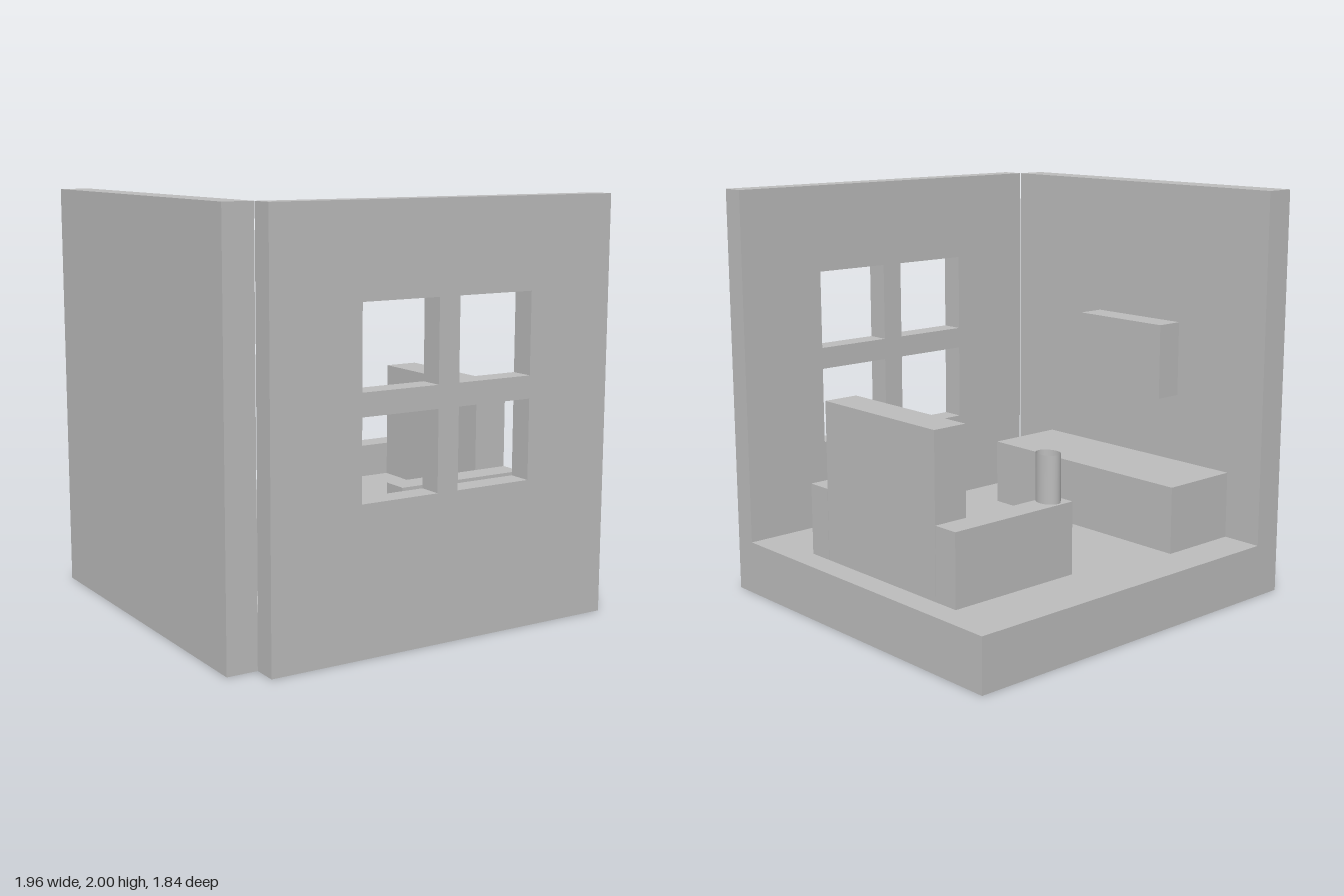
import * as THREE from 'three';

export function createModel() {
  const model = new THREE.Group();
  model.name = 'room';
  const grey = new THREE.MeshStandardMaterial({ color: 0xbcbcbc, side: THREE.DoubleSide });
  grey.name = 'plain grey';

  const add = (name, geometry, parent = model) => {
    const mesh = new THREE.Mesh(geometry, grey);
    mesh.name = name;
    parent.add(mesh);
    return mesh;
  };

  // Box given by its lower and upper limits on each axis
  const block = (name, [x0, x1], [y0, y1], [z0, z1], parent) => {
    const mesh = add(name, new THREE.BoxGeometry(x1 - x0, y1 - y0, z1 - z0), parent);
    mesh.position.set((x0 + x1) / 2, (y0 + y1) / 2, (z0 + z1) / 2);
    return mesh;
  };

  const rectangle = (path, x0, x1, y0, y1) => {
    path.moveTo(x0, y0).lineTo(x1, y0).lineTo(x1, y1).lineTo(x0, y1).closePath();
    return path;
  };

  const floorTop = 0.263;

  // Floor slab and solid side wall
  block('floor', [-0.83, 0.98], [0, floorTop], [-0.92, 0.805]);
  block('sideWall', [-0.98, -0.83], [0, 2], [-0.92, 0.8]);

  // Front wall with a four-pane window opening
  const wall = rectangle(new THREE.Shape(), -0.83, 0.98, 0, 2);
  for (const [x0, x1] of [[-0.38, 0.018], [0.128, 0.525]]) {
    for (const [y0, y1] of [[0.7, 1.08], [1.187, 1.573]]) {
      wall.holes.push(rectangle(new THREE.Path(), x0, x1, y0, y1));
    }
  }
  const wallGeometry = new THREE.ExtrudeGeometry(wall, { depth: 0.115, bevelEnabled: false });
  add('frontWall', wallGeometry).position.z = 0.805;

  // Sofa facing the side wall
  const sofa = new THREE.Group();
  sofa.name = 'sofa';
  model.add(sofa);
  const armTop = 0.615;
  block('seat', [0.15, 0.68], [floorTop, 0.447], [-0.48, 0.323], sofa);
  block('backrest', [0.68, 0.858], [floorTop, 1.042], [-0.475, 0.32], sofa);
  block('rearArm', [0.15, 0.858], [floorTop, armTop], [-0.61, -0.478], sofa);
  block('frontArm', [0.15, 0.858], [floorTop, armTop], [0.322, 0.453], sofa);

  // Open oval cup standing on the rear arm
  const cup = add('cup', new THREE.CylinderGeometry(1, 1, 0.23, 32, 1, true));
  cup.scale.set(0.052, 1, 0.065);
  cup.position.set(0.23, armTop + 0.115, -0.531);

  // Low cabinet and the screen mounted above it
  block('cabinet', [-0.83, -0.417], [floorTop, 0.595], [-0.715, 0.538]);
  block('screen', [-0.83, -0.69], [0.937, 1.312], [-0.375, 0.18]);

  return model;
}
